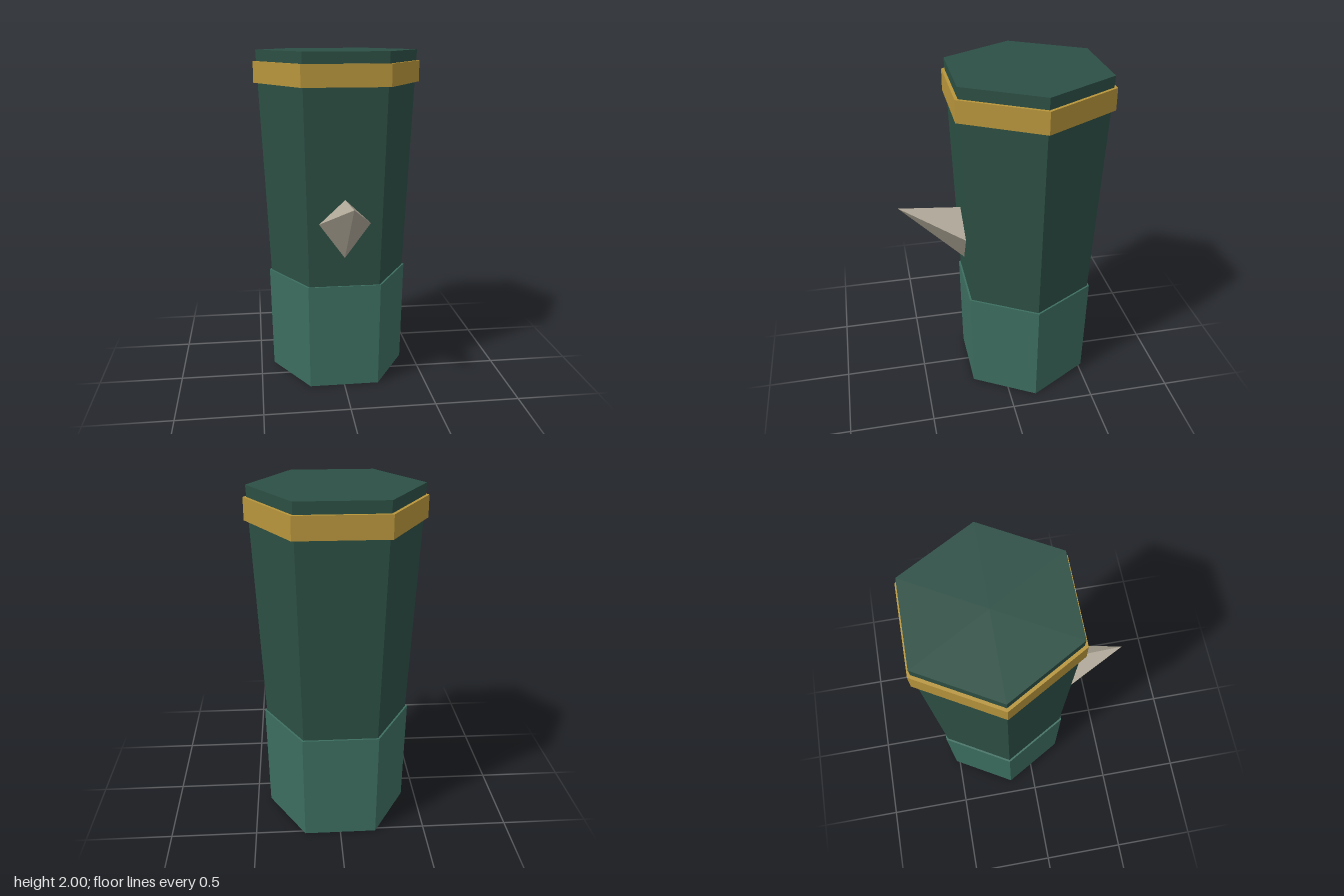
import * as THREE from 'three';

const CENTRE_Z = -0.16;

function mat(color) {
  return new THREE.MeshStandardMaterial({ color, flatShading: true });
}

// Six-sided tapered prism with flat faces to front and back
function hexPrism(name, rBottom, rTop, y0, y1, color) {
  const geo = new THREE.CylinderGeometry(rTop, rBottom, y1 - y0, 6, 1, false, Math.PI / 6);
  const mesh = new THREE.Mesh(geo, mat(color));
  mesh.name = name;
  mesh.position.set(0, (y0 + y1) / 2, CENTRE_Z);
  return mesh;
}

export function createModel() {
  const group = new THREE.Group();
  group.name = 'spikedHexColumn';

  // Column: pale lower sleeve, tapered shaft, metal band near the top
  group.add(
    hexPrism('lowerSleeve', 0.418, 0.432, 0, 0.645, 0x3d6e60),
    hexPrism('shaft', 0.408, 0.483, 0.4, 2, 0x2d5045),
    hexPrism('topBand', 0.5, 0.5, 1.81, 1.935, 0xb8953c)
  );

  // Four-sided spike rising out of the front face, its base buried in the shaft
  const length = 0.53;
  const geo = new THREE.ConeGeometry(length * 0.368, length, 4);
  geo.translate(0, -length / 2, 0); // tip at the origin
  const spike = new THREE.Mesh(geo, mat(0xb0a898));
  spike.name = 'frontSpike';
  spike.rotation.x = THREE.MathUtils.degToRad(90 - 25.1);
  spike.position.set(0, 1.205, 0.59);
  group.add(spike);

  return group;
}
